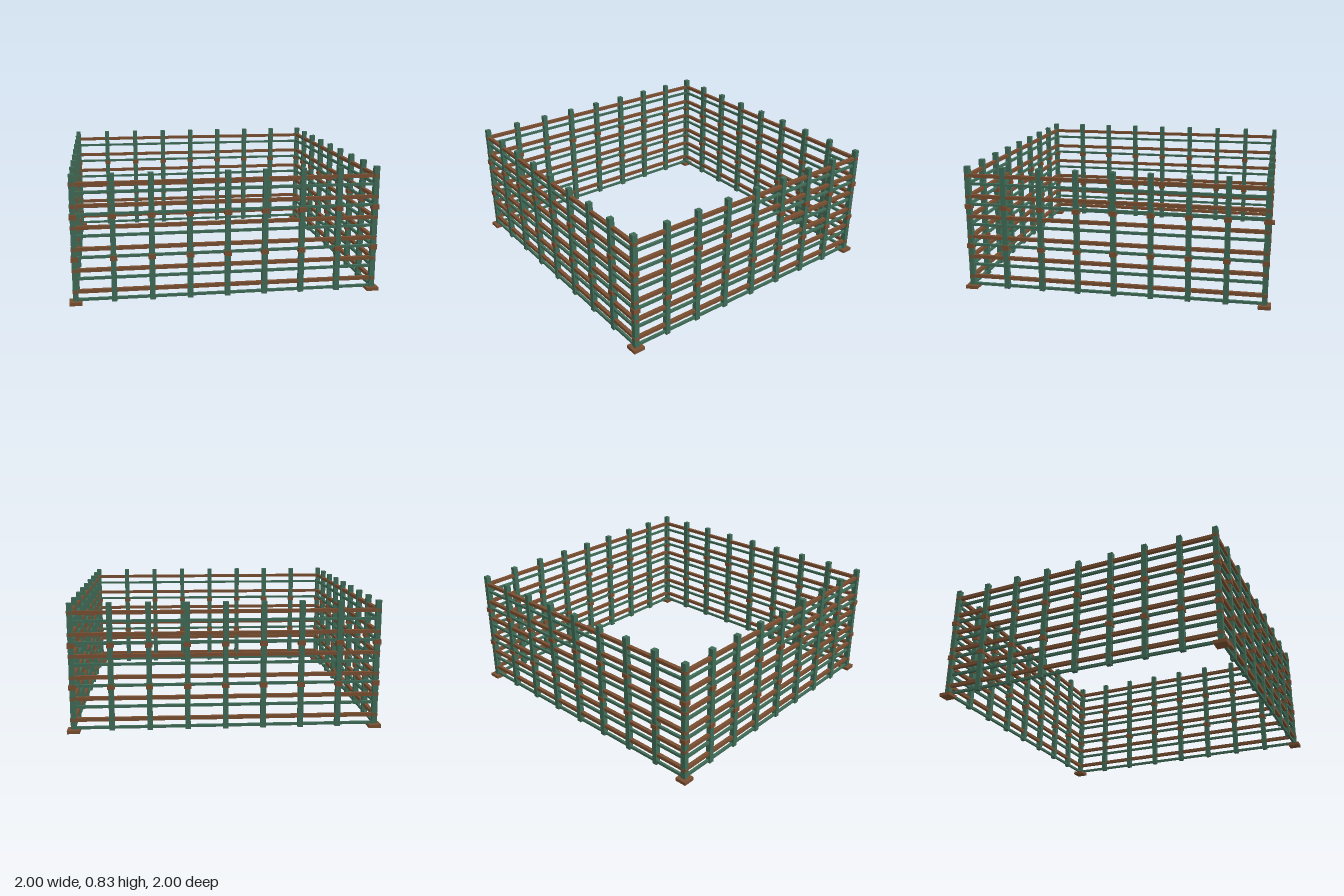
import * as THREE from 'three';

export function createModel() {
  const model = new THREE.Group();
  model.name = 'fencedEnclosure';

  const green = new THREE.MeshStandardMaterial({ color: 0x3f6b57 });
  green.name = 'weatheredGreen';
  const brown = new THREE.MeshStandardMaterial({ color: 0x7a4e30 });
  brown.name = 'rustBrown';

  const HALF = 0.96; // centre line of each fence side
  const BAYS = 8;
  const STEP = (2 * HALF) / BAYS;

  function box(parent, name, size, position, material) {
    const mesh = new THREE.Mesh(new THREE.BoxGeometry(...size), material);
    mesh.name = name;
    mesh.position.set(...position);
    parent.add(mesh);
  }

  // Post with its two clamps; corner posts also get a foot plate
  function addPost(x, z, corner) {
    const post = new THREE.Group();
    post.name = corner ? 'cornerPost' : 'post';
    post.position.set(x, 0, z);
    box(post, 'upright', [0.034, 0.816, 0.034], [0, 0.418, 0], green);
    for (const y of [0.293, 0.56]) {
      box(post, 'clamp', [0.045, 0.032, 0.045], [0, y, 0], brown);
    }
    if (corner) box(post, 'footPlate', [0.08, 0.022, 0.08], [0, 0.011, 0], brown);
    model.add(post);
  }

  // Four sides, each turned a quarter turn from the last
  ['front', 'left', 'back', 'right'].forEach((name, k) => {
    const side = new THREE.Group();
    side.name = name + 'Rails';
    side.rotation.y = (k * Math.PI) / 2;
    // Alternating thin green and thicker brown rails
    for (let i = 0; i < 6; i++) {
      const y = 0.082 + i * 0.1364;
      box(side, 'brownRail', [1.96, 0.023, 0.024], [0, y, HALF], brown);
      box(side, 'greenRail', [1.92, 0.017, 0.017], [0, y - 0.054, HALF], green);
    }
    model.add(side);
  });

  // Posts around the perimeter
  for (let i = 0; i <= BAYS; i++) {
    const t = -HALF + i * STEP;
    const corner = i === 0 || i === BAYS;
    for (const s of [-1, 1]) {
      addPost(t, s * HALF, corner);
      if (!corner) addPost(s * HALF, t, false);
    }
  }

  return model;
}
